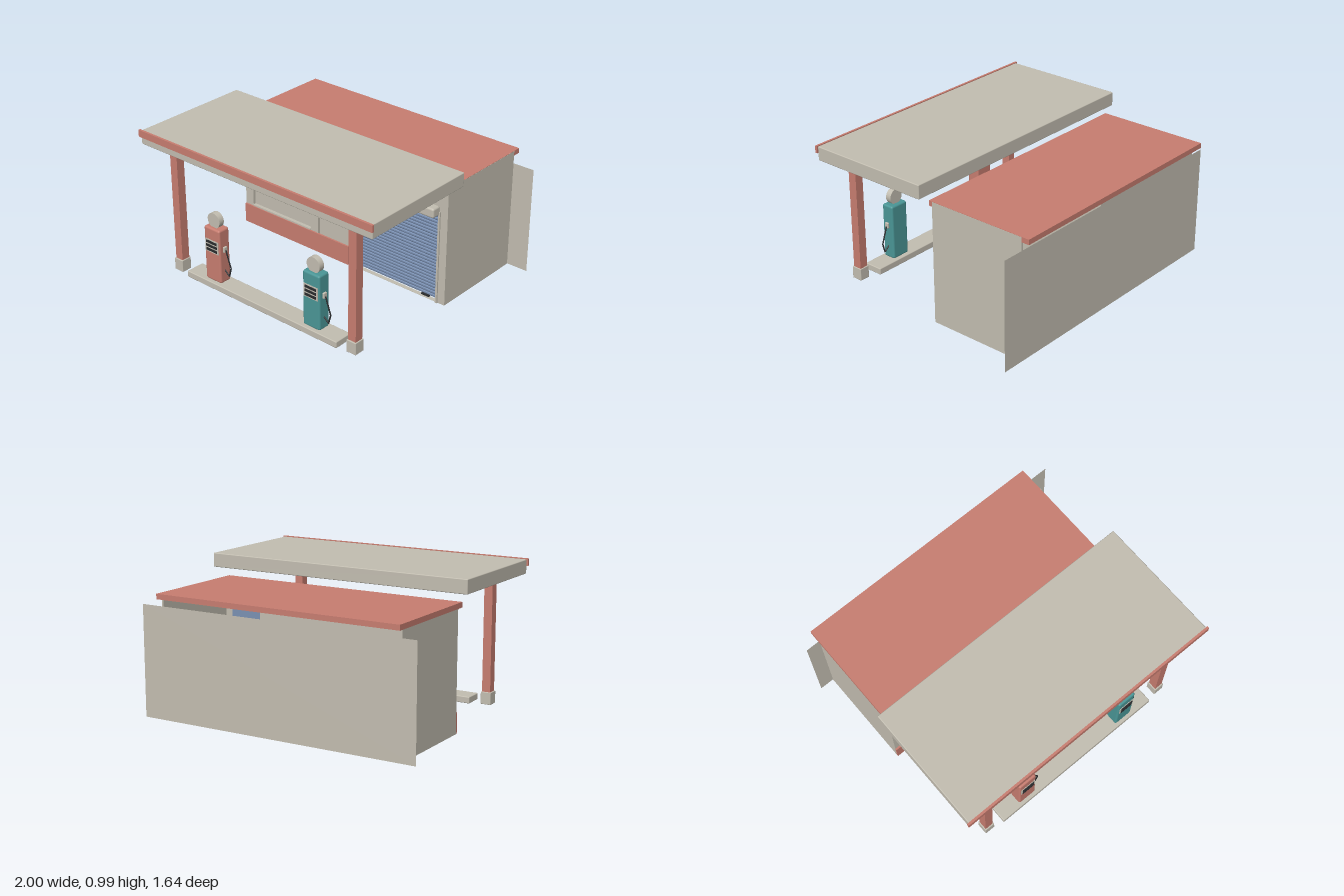
import * as THREE from 'three';
import { RoundedBoxGeometry } from 'three/addons/geometries/RoundedBoxGeometry.js';

const mat = (name, color) => {
  const m = new THREE.MeshStandardMaterial({ color });
  m.name = name;
  return m;
};

export function createModel() {
  const beige = mat('beige', 0xc2bdb0);
  const red = mat('brick red', 0xc77d70);
  const teal = mat('teal', 0x4a9696);
  const blue = mat('shutter blue', 0x7a90b2);
  const dark = mat('dark rubber', 0x2a2c2e);
  const lamp = mat('lamp panel', 0xc4ccd8);
  const sheet = mat('beige sheet', 0xc2bdb0);
  sheet.side = THREE.DoubleSide;

  const model = new THREE.Group();
  model.name = 'fillingStation';

  const add = (parent, name, geometry, material) => {
    const mesh = new THREE.Mesh(geometry, material);
    mesh.name = name;
    parent.add(mesh);
    return mesh;
  };
  // Box given by its min and max on each axis, optionally with rounded edges
  const box = (parent, name, material, x0, x1, y0, y1, z0, z1, r = 0) => {
    const s = [x1 - x0, y1 - y0, z1 - z0];
    const g = r ? new RoundedBoxGeometry(...s, 2, r) : new THREE.BoxGeometry(...s);
    const mesh = add(parent, name, g, material);
    mesh.position.set((x0 + x1) / 2, (y0 + y1) / 2, (z0 + z1) / 2);
    return mesh;
  };
  const rect = (P, x0, x1, y0, y1) => {
    const p = new P();
    p.moveTo(x0, y0);
    p.lineTo(x1, y0);
    p.lineTo(x1, y1);
    p.lineTo(x0, y1);
    p.closePath();
    return p;
  };

  // Building: closed shop, garage open at the bottom and rear
  const building = new THREE.Group();
  building.name = 'building';
  model.add(building);
  box(building, 'shop', beige, -0.9, 0.09, 0, 0.805, -0.765, -0.085);
  box(building, 'garageSideWall', beige, 0.834, 0.847, 0, 0.838, -0.765, -0.065);
  const front = rect(THREE.Shape, -0.9, 0.845, 0, 0.805);
  front.holes.push(
    rect(THREE.Path, -0.83, -0.29, 0.145, 0.645),
    rect(THREE.Path, -0.24, -0.03, 0.02, 0.575),
    rect(THREE.Path, 0.12, 0.785, 0.002, 0.66)
  );
  const frontWall = add(building, 'frontWall',
    new THREE.ExtrudeGeometry(front, { depth: 0.03, bevelEnabled: false }), beige);
  frontWall.position.z = -0.095;
  const back = add(building, 'backWall', new THREE.PlaneGeometry(2, 0.75), sheet);
  back.position.set(0, 0.375, -0.768);
  box(building, 'roof', red, -0.915, 0.846, 0.805, 0.84, -0.82, -0.04);
  box(building, 'plinth', red, -0.9, 0.05, 0, 0.14, -0.066, -0.053);

  // Shop window sill and door rails
  box(building, 'windowSill', beige, -0.83, -0.29, 0.14, 0.15, -0.09, -0.06);
  box(building, 'doorStile', beige, -0.24, -0.225, 0.02, 0.575, -0.09, -0.062);
  box(building, 'doorRail', beige, -0.225, -0.035, 0.255, 0.265, -0.09, -0.07);

  // Corrugated roller door, extruded sideways from a zigzag profile
  const slats = 28, y0 = 0.02, y1 = 0.65, step = (y1 - y0) / slats;
  const profile = new THREE.Shape();
  profile.moveTo(-0.012, y0);
  for (let i = 0; i < slats; i++) {
    const y = y0 + i * step;
    profile.lineTo(0, y);
    profile.lineTo(0.004, y + step * 0.3);
    profile.lineTo(0.004, y + step * 0.7);
    profile.lineTo(0, y + step);
  }
  profile.lineTo(-0.012, y1);
  const shutterGeo = new THREE.ExtrudeGeometry(profile, { depth: 0.665, bevelEnabled: false });
  shutterGeo.rotateY(-Math.PI / 2);
  const shutter = add(building, 'rollerDoor', shutterGeo, blue);
  shutter.position.set(0.785, 0, -0.08);
  box(building, 'doorHandle', dark, 0.66, 0.72, 0.012, 0.022, -0.08, -0.066);
  for (const x of [0.108, 0.779]) {
    box(building, 'doorGuide', beige, x, x + 0.014, 0, 0.66, -0.08, -0.055);
  }
  box(building, 'rollerHousing', beige, 0.11, 0.785, 0.632, 0.7, -0.068, 0.003, 0.014);

  // Canopy with two rows of lamp panels
  const canopy = new THREE.Group();
  canopy.name = 'canopy';
  model.add(canopy);
  box(canopy, 'canopyRoof', beige, -0.96, 0.957, 0.892, 0.988, -0.065, 0.803, 0.006);
  box(canopy, 'fascia', red, -0.97, 0.967, 0.945, 0.993, 0.8, 0.816);
  for (let i = 0; i < 5; i++) {
    const x = -0.765 + i * 0.35;
    for (const z of [0.13, 0.43]) {
      box(canopy, 'lampPanel', lamp, x - 0.112, x + 0.112, 0.887, 0.894, z - 0.05, z + 0.05);
    }
  }
  for (const x of [-0.752, 0.748]) {
    box(canopy, 'post', red, x - 0.03, x + 0.03, 0.06, 0.895, 0.667, 0.728);
    box(canopy, 'postBase', beige, x - 0.037, x + 0.037, 0, 0.086, 0.66, 0.737, 0.004);
  }

  // Pump island
  box(model, 'island', beige, -0.65, 0.647, 0, 0.046, 0.62, 0.755, 0.006);

  // Fuel pump, built around x = 0
  const pump = (name, x, paint) => {
    const g = new THREE.Group();
    g.name = name;
    g.position.x = x;
    model.add(g);
    box(g, 'pumpBody', paint, -0.069, 0.069, 0.046, 0.435, 0.642, 0.733, 0.014);
    box(g, 'dialPlate', beige, -0.058, 0.058, 0.258, 0.35, 0.73, 0.736);
    for (let i = 0; i < 3; i++) {
      const y = 0.277 + i * 0.028;
      box(g, 'dialSlot', dark, -0.046, 0.046, y - 0.008, y + 0.008, 0.734, 0.741);
    }
    const disc = new THREE.CylinderGeometry(0.053, 0.053, 0.04, 32);
    disc.rotateX(Math.PI / 2);
    add(g, 'globe', disc, beige).position.set(0, 0.482, 0.69);
    box(g, 'globeNeck', beige, -0.02, 0.02, 0.425, 0.445, 0.675, 0.705);
    box(g, 'nozzleHolder', beige, 0.066, 0.082, 0.27, 0.31, 0.675, 0.705, 0.005);

    // Hose hanging in straight runs from the holder back to the body
    const path = new THREE.CurvePath();
    const pts = [[0.072, 0.3], [0.086, 0.27], [0.122, 0.165], [0.104, 0.1], [0.066, 0.135]]
      .map(([px, py]) => new THREE.Vector3(px, py, 0.69));
    for (let i = 1; i < pts.length; i++) path.add(new THREE.LineCurve3(pts[i - 1], pts[i]));
    add(g, 'hose', new THREE.TubeGeometry(path, 40, 0.005, 6), dark);
  };
  pump('leftHandPump', 0.424, teal);
  pump('rightHandPump', -0.427, red);

  return model;
}
